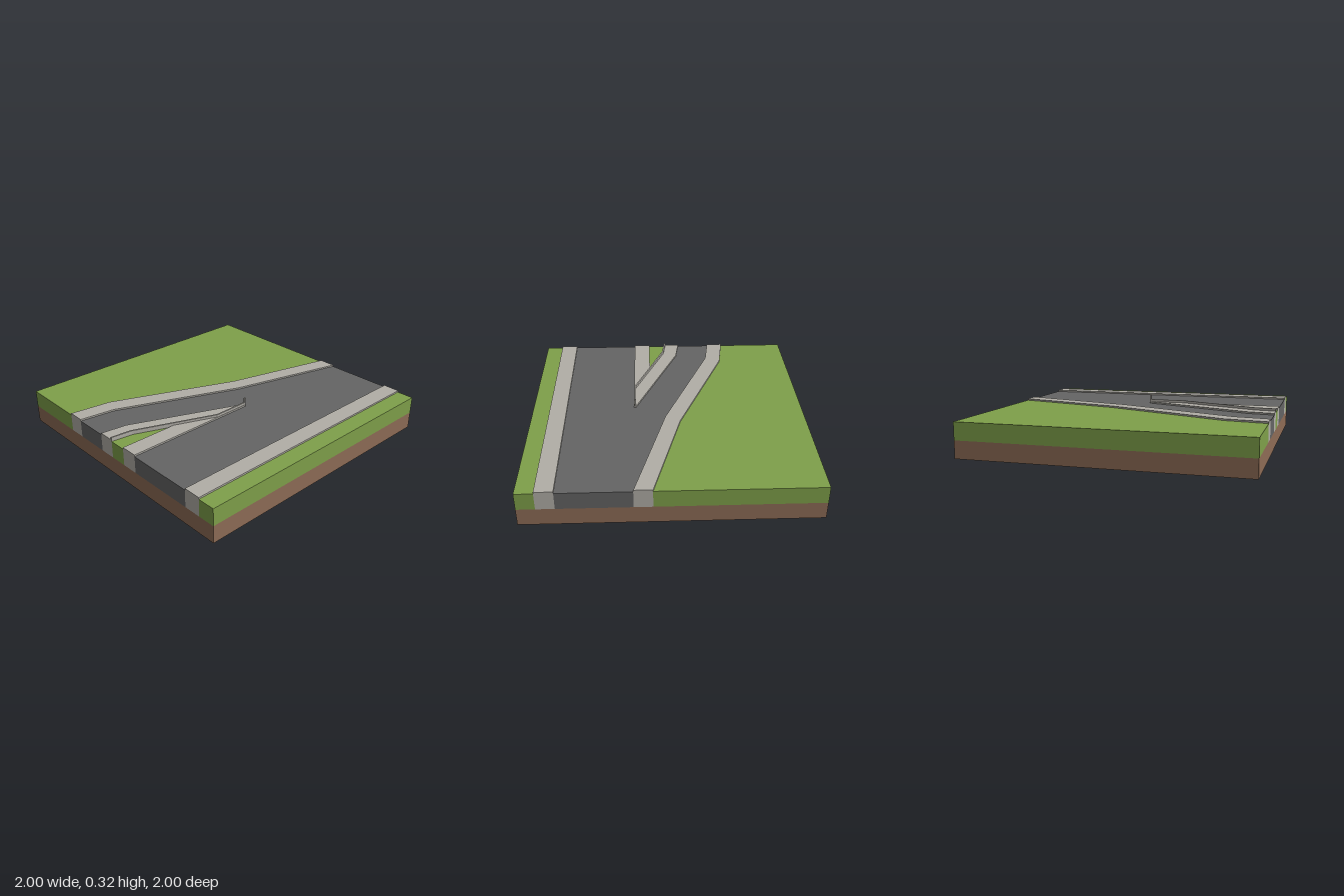
import * as THREE from 'three';

const mat = (name, color) => {
  const m = new THREE.MeshStandardMaterial({ color, side: THREE.DoubleSide });
  m.name = name;
  return m;
};

export function createModel() {
  const grass = mat('grass', 0x7fa04a);
  const soil = mat('soil', 0x8e6c56);
  const asphalt = mat('asphalt', 0x646464);
  const stone = mat('stone', 0xb1aea7);
  const MID = 0.125, TOP = 0.25, KERB = 0.262, LIP = 0.28;

  const model = new THREE.Group();
  model.name = 'roadTile';
  const add = (name, geo, material) => {
    const mesh = new THREE.Mesh(geo, material);
    mesh.name = name;
    model.add(mesh);
  };

  // Horizontal face through [x, z] points
  const flat = (name, pts, y, material) => {
    const shape = new THREE.Shape(pts.map(([x, z]) => new THREE.Vector2(x, -z)));
    add(name, new THREE.ShapeGeometry(shape).rotateX(-Math.PI / 2).translate(0, y, 0), material);
  };

  // Vertical faces along [x, z] points; a path towards +x faces +z
  const wall = (name, pts, y0, y1, material) => {
    const pos = [];
    for (let i = 0; i < pts.length - 1; i++) {
      const [ax, az] = pts[i], [bx, bz] = pts[i + 1];
      pos.push(ax, y0, az, bx, y0, bz, bx, y1, bz, ax, y0, az, bx, y1, bz, ax, y1, az);
    }
    const geo = new THREE.BufferGeometry();
    geo.setAttribute('position', new THREE.Float32BufferAttribute(pos, 3));
    geo.computeVertexNormals();
    add(name, geo, material);
  };

  // Raised kerb between a front edge and a back edge, both listed towards +x
  const kerb = (name, front, back, y0, y1) => {
    flat(name + 'Top', [...front, ...[...back].reverse()], y1, stone);
    wall(name + 'Front', front, y0, y1, stone);
    wall(name + 'Back', [...back].reverse(), y0, y1, stone);
  };

  // Edges of the branching road
  const backOuter = [[-1, -0.5], [-0.7, -0.457], [0.21, -0.085], [1, 0.125]];
  const backInner = [[-1, -0.378], [-0.745, -0.342], [0.15, 0.02], [1, 0.25]];
  const midOuter = [[-1, -0.125], [-0.81, -0.098], [0, 0.235]];
  const midInner = [[-1, -0.003], [-0.845, 0.017], [-0.575, 0.125]];

  // Grass
  flat('backGrass', [[-1, -1], [1, -1], ...[...backOuter].reverse()], TOP, grass);
  flat('frontGrass', [[-1, 0.875], [1, 0.875], [1, 1], [-1, 1]], TOP, grass);
  flat('islandGrass', [...midInner, [-1, 0.125]], TOP, grass);

  // Road surface with its branch
  flat('road', [...backInner, [1, 0.75], [-1, 0.75], [-1, 0.25], [0, 0.25],
    ...[...midOuter].reverse()], TOP, asphalt);

  // Kerbs
  kerb('backKerb', backInner, backOuter, TOP, KERB);
  kerb('frontKerb', [[-1, 0.875], [1, 0.875]], [[-1, 0.75], [1, 0.75]], TOP, KERB);
  flat('islandKerbTop', [...midOuter, [0, 0.25], [-1, 0.25], [-1, 0.125],
    ...[...midInner].reverse()], KERB, stone);
  wall('islandKerbSides', [[-1, 0.25], [0, 0.25], ...[...midOuter].reverse()], TOP, KERB, stone);
  wall('islandKerbInside', [...midInner, [-1, 0.125]], TOP, KERB, stone);

  // Thin raised lip along the island kerb, ending in a small post
  const lipFront = [[-1, -0.003], [-0.845, 0.017], [-0.27, 0.247], [0, 0.247]];
  const lipBack = [[-1, -0.014], [-0.843, 0.006], [-0.268, 0.236], [0, 0.236]];
  kerb('islandLip', lipFront, lipBack, KERB, LIP);
  wall('lipEnds', [[-1, -0.014], [-1, -0.003]], KERB, LIP, stone);
  wall('lipEnds', [[0, 0.247], [0, 0.236]], KERB, LIP, stone);
  add('post', new THREE.BoxGeometry(0.01, 0.316 - TOP, 0.012)
    .translate(-0.005, (0.316 + TOP) / 2, 0.243), stone);

  // Outer walls, open underneath
  wall('soilWalls', [[-1, 1], [1, 1], [1, -1], [-1, -1], [-1, 1]], 0, MID, soil);
  wall('frontGrassWall', [[-1, 1], [1, 1]], MID, TOP, grass);
  wall('backGrassWall', [[1, -1], [-1, -1]], MID, TOP, grass);

  // Cut ends, listed as [end z, material] from the back forwards
  const ends = {
    '1': [[0.125, grass], [0.25, stone], [0.75, asphalt], [0.875, stone], [1, grass]],
    '-1': [[-0.5, grass], [-0.378, stone], [-0.125, asphalt], [-0.003, stone], [0.125, grass],
      [0.25, stone], [0.75, asphalt], [0.875, stone], [1, grass]],
  };
  for (const x of [1, -1]) {
    let z0 = -1;
    for (const [z1, material] of ends[x]) {
      const pts = x > 0 ? [[x, z1], [x, z0]] : [[x, z0], [x, z1]];
      wall(material.name + 'End', pts, MID, material === stone ? KERB : TOP, material);
      z0 = z1;
    }
  }
  return model;
}
